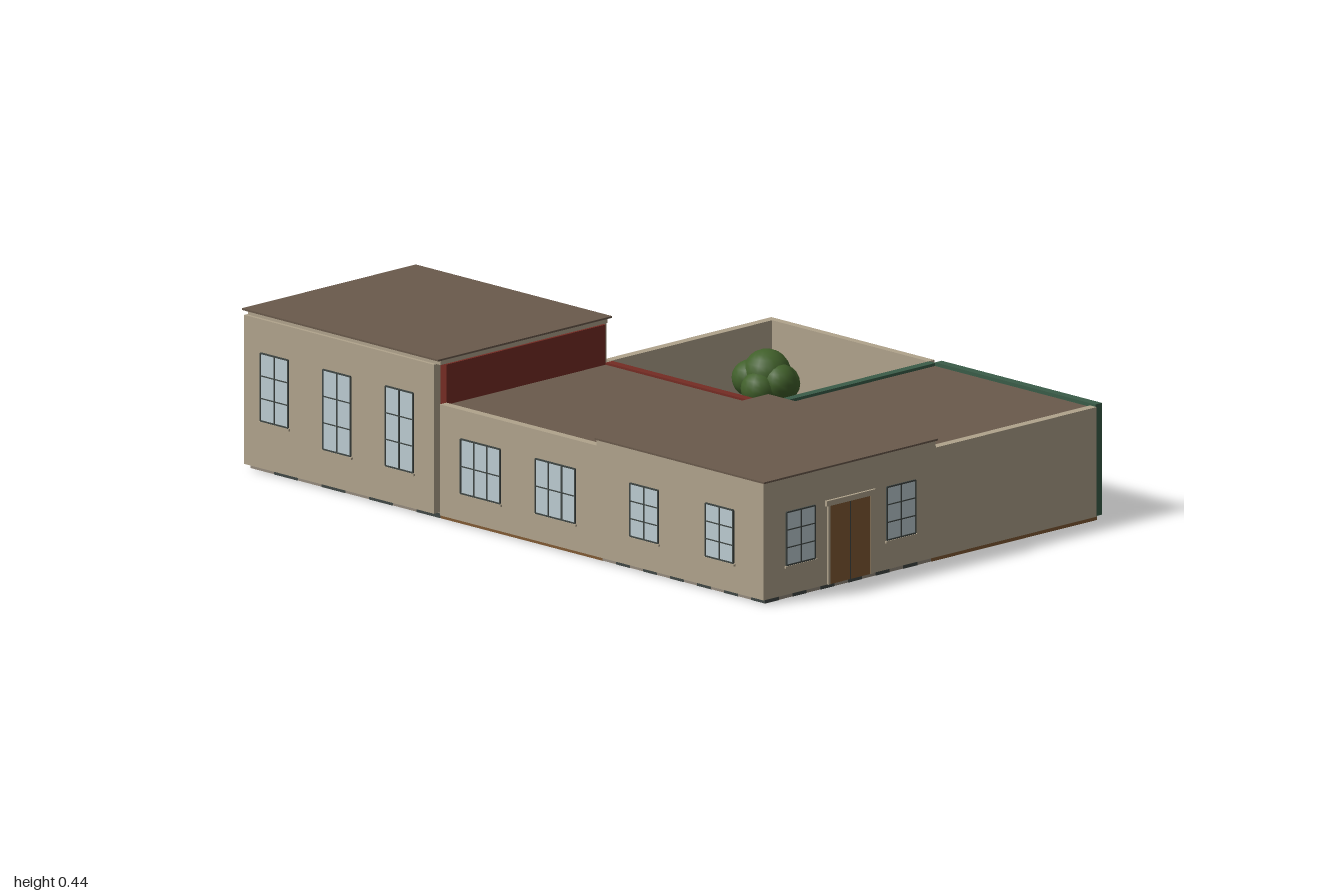
import * as THREE from 'three';
import { mergeGeometries } from 'three/addons/utils/BufferGeometryUtils.js';

const mat = (name, color) => {
  const m = new THREE.MeshStandardMaterial({ color });
  m.name = name;
  return m;
};

export function createModel() {
  const model = new THREE.Group();
  model.name = 'courtyardHouse';
  const plaster = mat('plaster', 0xb0a38c), roofing = mat('roofing', 0x6a5a4c);
  const red = mat('redPaint', 0x752c24), green = mat('greenPaint', 0x3a5c48);
  const wood = mat('wood', 0x805a34), grass = mat('grass', 0x48632e);
  const foliage = mat('foliage', 0x41602b), glass = mat('glass', 0xbccbd1);
  const dark = mat('darkStone', 0x404744), pale = mat('paleTile', 0x948a7c);

  const add = (name, geo, m, x = 0, y = 0, z = 0, parent = model) => {
    const mesh = new THREE.Mesh(geo, m);
    mesh.name = name;
    mesh.position.set(x, y, z);
    parent.add(mesh);
    return mesh;
  };
  // box given by its limits on each axis
  const box = (name, m, x0, x1, y0, y1, z0, z1, parent = model) =>
    add(name, new THREE.BoxGeometry(x1 - x0, y1 - y0, z1 - z0), m,
      (x0 + x1) / 2, (y0 + y1) / 2, (z0 + z1) / 2, parent);
  // material list with plaster on one face: 0 +x, 1 -x, 2 +y, 3 -y, 4 +z, 5 -z
  const faced = (m, face) => Array.from({ length: 6 }, (_, i) => (i === face ? plaster : m));
  const T = 0.025, B = 0.013;

  // floors
  const checker = (name, x0, x1, z0, z1, nx, nz) => {
    box(name, pale, x0, x1, 0.0005, B, z0, z1);
    const w = (x1 - x0) / nx, d = (z1 - z0) / nz, tiles = [];
    for (let i = 0; i < nx; i++) for (let j = 0; j < nz; j++) {
      if ((i + j + nz) % 2 === 0) continue;
      const g = new THREE.BoxGeometry(w + 0.001, B, d + 0.001);
      tiles.push(g.translate(x0 + w * (i + 0.5), B / 2, z0 + d * (j + 0.5)));
    }
    add(name + 'DarkTiles', mergeGeometries(tiles), dark);
  };
  checker('hallFloor', -0.62, 0, 0.36, 0.98, 12, 12);
  checker('towerFloor', -0.62, 0, -0.985, -0.26, 7, 8);
  box('middleFloor', wood, -0.62, 0, 0, B, -0.26, 0.36);
  box('sideRoomFloor', wood, 0, 0.62, 0, B, 0.36, 0.98);
  box('lawn', grass, 0, 0.62, 0, B, -0.26, 0.36);

  // tall back room
  box('towerLeftWall', plaster, 0.01 - T, 0.01, B, 0.425, -0.995, -0.27);
  box('towerRightWall', plaster, -0.635, -0.635 + T, B, 0.425, -0.995, -0.27);
  box('towerBackWall', plaster, -0.61, -0.015, B, 0.425, -0.995, -0.97);
  box('towerFrontWall', red, -0.61, -0.015, B, 0.425, -0.27, -0.247);
  box('towerCornice', plaster, -0.625, 0, 0.425, 0.438, -0.99, -0.255);
  box('towerRoof', roofing, -0.638, 0.012, 0.438, 0.443, -1, -0.25);

  // front hall
  box('hallFrontWall', plaster, -0.635, 0.01, B, 0.32, 0.965, 0.99);
  box('hallBackWall', plaster, -0.61, -0.015, B, 0.32, 0.347, 0.372);
  for (const x of [-0.635, -0.015]) box('hallSideWall', plaster, x, x + T, B, 0.32, 0.347, 0.965);
  box('hallCornice', plaster, -0.635, 0.008, 0.32, 0.336, 0.352, 0.99);
  box('hallRoof', roofing, -0.638, 0.012, 0.336, 0.341, 0.347, 0.995);

  // middle room
  box('middleOuterWall', plaster, -0.635, -0.61, B, 0.32, -0.247, 0.347);
  box('middleCourtWall', faced(red, 0), -0.015, 0.01, B, 0.32, -0.247, 0.347);
  box('middleRoof', roofing, -0.61, -0.015, 0.303, 0.314, -0.247, 0.347);

  // side room
  box('sideRoomFrontWall', plaster, 0.01, 0.61, B, 0.316, 0.965, 0.99);
  box('sideRoomOuterWall', faced(green, 0), 0.61, 0.635, B, 0.322, 0.372, 0.985);
  box('sideRoomCourtWall', faced(green, 5), 0.01, 0.612, B, 0.32, 0.347, 0.372);
  box('sideRoomRoof', roofing, 0.01, 0.61, 0.303, 0.312, 0.372, 0.965);

  // courtyard walls
  box('courtOuterWall', plaster, 0.61, 0.632, B, 0.32, -0.25, 0.347);
  box('courtBackWall', plaster, 0.01, 0.632, B, 0.32, -0.275, -0.25);

  // windows and doors, built facing +z then turned
  const turned = (name, x, y, z, turn) => {
    const g = new THREE.Group();
    g.name = name;
    g.position.set(x, y, z);
    g.rotation.y = turn * Math.PI / 2;
    model.add(g);
    return g;
  };
  const windowAt = (x, y, z, turn, w, h, cols, rows, frame = dark) => {
    const g = turned('window', x, y, z, turn);
    box('pane', glass, -w / 2, w / 2, -h / 2, h / 2, -0.002, 0.002, g);
    for (let i = 0; i <= cols; i++) {
      const c = -w / 2 + w * i / cols, t = 0.002;
      box('upright', i % cols ? dark : frame, c - t, c + t, -h / 2, h / 2, 0, 0.004, g);
    }
    for (let i = 0; i <= rows; i++) {
      const c = -h / 2 + h * i / rows, t = i % rows ? 0.0015 : 0.002;
      box('glazingBar', i % rows ? dark : frame, -w / 2, w / 2, c - t, c + t, 0, 0.004, g);
    }
    box('sill', plaster, -w / 2 - 0.006, w / 2 + 0.006, -h / 2 - 0.008, -h / 2 - 0.002, 0, 0.006, g);
  };
  const doorAt = (x, z, turn, w, h, trim) => {
    const g = turned('door', x, B, z, turn);
    box('leaves', wood, -w / 2, w / 2, 0, h, -0.002, 0.003, g);
    box('seam', dark, -0.002, 0.002, 0, h, 0, 0.004, g);
    for (const s of [-1, 1]) box('jamb', trim, s * w / 2 - 0.004, s * w / 2 + 0.004, 0, h, 0, 0.005, g);
    box('lintel', trim, -w / 2 - 0.012, w / 2 + 0.012, h, h + 0.015, 0, 0.008, g);
  };
  doorAt(-0.314, 0.99, 0, 0.16, 0.218, plaster);
  for (const x of [-0.498, -0.123]) windowAt(x, 0.168, 0.99, 0, 0.106, 0.146, 2, 3);
  for (const z of [0.823, 0.535]) {
    windowAt(0.635, 0.15, z, 1, 0.15, 0.15, 3, 2, green);
    windowAt(-0.635, 0.168, z, -1, 0.106, 0.146, 2, 3);
  }
  for (const z of [-0.09, 0.196]) windowAt(-0.635, 0.165, z, -1, 0.15, 0.15, 3, 2);
  for (const [z, low] of [[-0.4, 0.112], [-0.638, 0.112], [-0.877, 0.145]]) {
    const h = 0.332 - low;
    windowAt(0.01, low + h / 2, z, 1, 0.105, h, 2, 3);
    windowAt(-0.635, low + h / 2, z, -1, 0.105, h, 2, 3);
  }
  windowAt(-0.312, 0.25, -0.995, 2, 0.14, 0.145, 3, 2);
  for (const z of [-0.15, 0.24]) windowAt(0.01, 0.155, z, 1, 0.1, 0.15, 2, 3, red);
  doorAt(0.01, 0.047, 1, 0.1, 0.2, red);
  doorAt(0.305, 0.347, 2, 0.1, 0.2, green);

  // courtyard paths and fountain
  const cx = 0.305, cz = 0.047;
  box('longPath', plaster, 0.254, 0.358, B, B + 0.003, -0.25, 0.347);
  box('crossPath', plaster, 0.01, 0.61, B, B + 0.0025, 0, 0.1);
  const disc = (name, m, r, y0, y1) =>
    add(name, new THREE.CylinderGeometry(r, r, y1 - y0, 32), m, cx, (y0 + y1) / 2, cz);
  disc('fountainBase', dark, 0.1, B, 0.024);
  add('fountainRim', new THREE.TorusGeometry(0.062, 0.005, 8, 32).rotateX(Math.PI / 2), dark, cx, 0.027, cz);
  disc('fountainStem', plaster, 0.013, 0.02, 0.07);
  disc('fountainBowl', plaster, 0.037, 0.055, 0.064);
  disc('fountainWater', dark, 0.026, 0.064, 0.066);
  disc('fountainTip', plaster, 0.01, 0.066, 0.085);
  box('wallTap', dark, 0.597, 0.61, 0.08, 0.1, 0.042, 0.052);

  // planting: corner hedges, round shrubs, trees
  for (const sx of [-1, 1]) for (const sz of [-1, 1]) {
    add('shrub', new THREE.SphereGeometry(0.019, 12, 8), foliage, cx + sx * 0.083, 0.03, cz + sz * 0.083);
    const ex = sx < 0 ? 0.024 : 0.596, ez = sz < 0 ? -0.236 : 0.333;
    add('longHedge', new THREE.BoxGeometry(0.19, 0.065, 0.026), grass, ex - sx * 0.11, B + 0.0325, ez);
    add('shortHedge', new THREE.BoxGeometry(0.026, 0.065, 0.12), grass, ex, B + 0.0325, ez - sz * 0.1);
  }
  const tree = (x, z) => {
    const g = turned('tree', x, 0, z, 0);
    add('trunk', new THREE.CylinderGeometry(0.011, 0.016, 0.15, 8), wood, 0, 0.085, 0, g);
    add('crown', new THREE.SphereGeometry(0.066, 16, 12), foliage, 0, 0.215, 0, g);
    for (let i = 0; i < 5; i++) {
      const a = i * Math.PI * 0.4 + 0.3;
      add('leafCluster', new THREE.SphereGeometry(0.05, 14, 10), foliage,
        0.045 * Math.cos(a), 0.182 + 0.018 * (i % 2), 0.045 * Math.sin(a), g);
    }
  };
  tree(0.492, -0.15);
  tree(0.116, 0.232);

  // benches and trestle
  for (const [x, z] of [[0.543, 0.192], [0.07, 0.192]]) {
    box('benchSeat', plaster, x - 0.011, x + 0.011, 0.036, 0.043, z - 0.043, z + 0.043);
    for (const s of [-1, 1]) box('benchLeg', plaster, x - 0.008, x + 0.008, B, 0.036, z + s * 0.03 - 0.005, z + s * 0.03 + 0.005);
  }
  for (const s of [-1, 1]) {
    const bar = add('trestleBar', new THREE.BoxGeometry(0.045, 0.007, 0.007), wood, 0.14, 0.03, -0.13);
    bar.rotation.set(0, s * Math.PI / 4, s * 0.4);
  }
  return model;
}
